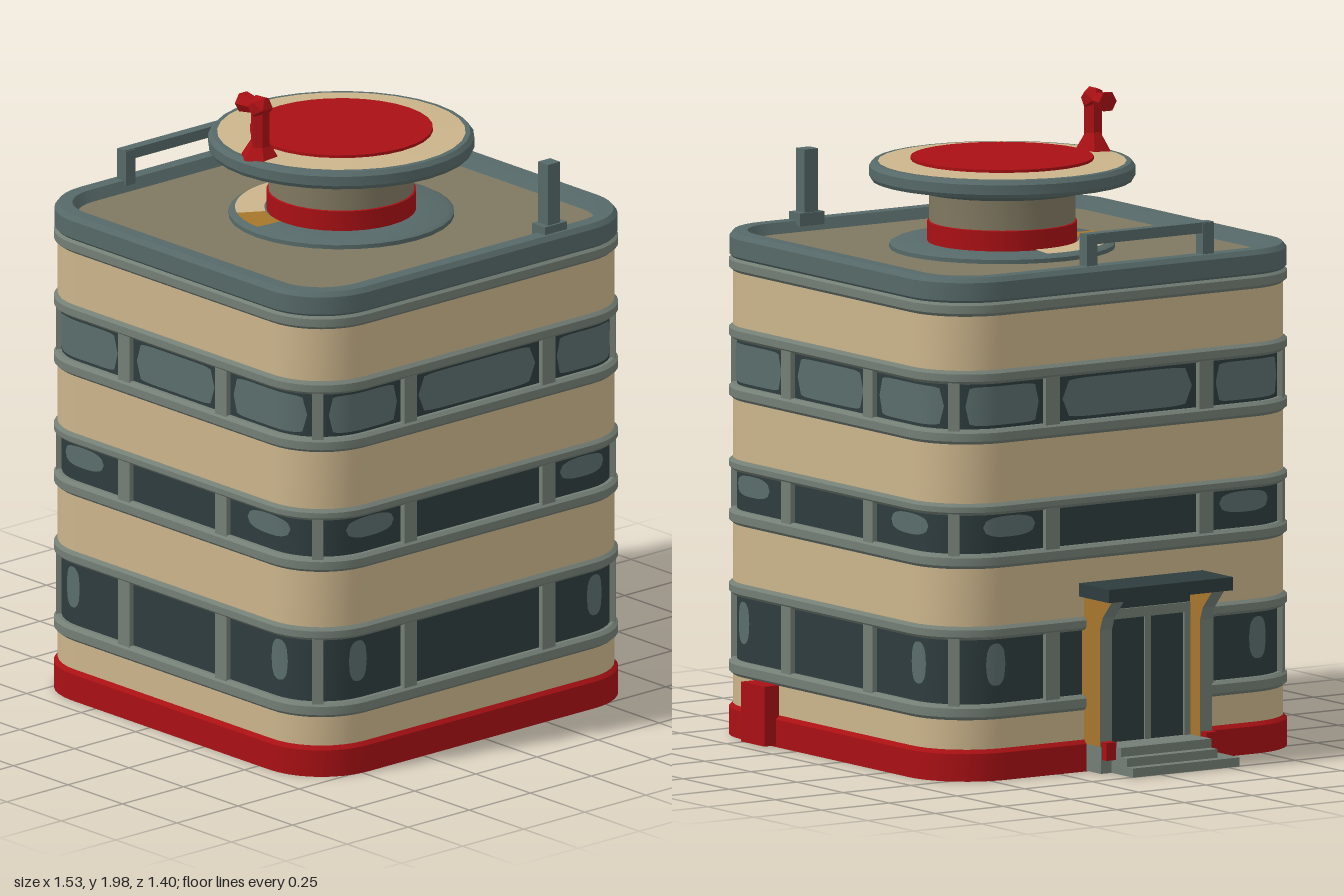
import * as THREE from 'three';
import { toCreasedNormals } from 'three/addons/utils/BufferGeometryUtils.js';

const paint = (name, color, side = THREE.FrontSide) => {
  const m = new THREE.MeshStandardMaterial({ color, side });
  m.name = name;
  return m;
};

export function createModel() {
  const model = new THREE.Group();
  model.name = 'roundedTower';
  const DS = THREE.DoubleSide;
  const cream = paint('cream', 0xcbb48b, DS), red = paint('red', 0xa91014, DS);
  const frame = paint('frameGrey', 0x737e75, DS), trim = paint('slateTrim', 0x566968, DS);
  const glass = paint('darkGlass', 0x2e3c3e, DS), shine = paint('lightGlass', 0x5a6d6b, DS);
  const olive = paint('olive', 0x7f7860, DS), gold = paint('gold', 0xa6762c, DS);

  const add = (name, geo, mat, x = 0, y = 0, z = 0, parent = model) => {
    const m = new THREE.Mesh(geo, mat);
    m.name = name;
    m.position.set(x, y, z);
    parent.add(m);
    return m;
  };
  // box given by its extents
  const box = (name, mat, x0, x1, y0, y1, z0, z1) =>
    add(name, new THREE.BoxGeometry(x1 - x0, y1 - y0, z1 - z0), mat, (x0 + x1) / 2, (y0 + y1) / 2, (z0 + z1) / 2);

  // Rounded-rectangle footprint, walked by arc length from the left end of the front
  const CX = 0.095, CZ = 0.015, R = 0.2, HX = 0.655, HZ = 0.665;
  const Q = Math.PI * R / 2;
  const half = i => (i % 2 ? HZ : HX) - R;
  const LEN = 4 * (HX - R) + 4 * (HZ - R) + 4 * Q;
  function at(s, off) {
    s = ((s % LEN) + LEN) % LEN;
    for (let i = 0; ; i++) {
      const th = i * Math.PI / 2, h = half(i), reach = i % 2 ? HX : HZ;
      const nx = Math.sin(th), nz = Math.cos(th);
      if (s <= 2 * h) {
        const d = s - h;
        return { x: CX + nx * (reach + off) + nz * d, z: CZ + nz * (reach + off) - nx * d, a: th };
      }
      s -= 2 * h;
      if (s <= Q || i === 3) {
        const a = th + s / R;
        return {
          x: CX + nx * (reach - R) + nz * h + Math.sin(a) * (R + off),
          z: CZ + nz * (reach - R) - nx * h + Math.cos(a) * (R + off), a
        };
      }
      s -= Q;
    }
  }

  // Sweep a profile of [offset, height] along the footprint; round > 0 shapes it as a superellipse
  function sweep(name, mat, profile, s0 = 0, s1 = LEN, round = 0, parent = model) {
    const pos = [], idx = [];
    const n = Math.max(20, Math.ceil((s1 - s0) / 0.035));
    for (let k = 0; k + 1 < profile.length; k++) {
      const [p, q] = [profile[k], profile[k + 1]];
      const mid = (p[1] + q[1]) / 2, base = pos.length / 3;
      for (let j = 0; j <= n; j++) {
        const u = Math.abs(2 * j / n - 1), s = s0 + (s1 - s0) * j / n;
        const f = round ? Math.pow(Math.max(0, 1 - u ** round), 1 / round) : 1;
        for (const [off, y] of [p, q]) {
          const c = at(s, off);
          pos.push(c.x, mid + (y - mid) * f, c.z);
        }
        if (j < n) {
          const b = base + 2 * j;
          idx.push(b, b + 2, b + 3, b, b + 3, b + 1);
        }
      }
    }
    const g = new THREE.BufferGeometry();
    g.setAttribute('position', new THREE.Float32BufferAttribute(pos, 3));
    g.setIndex(idx);
    g.computeVertexNormals();
    return add(name, g, mat, 0, 0, 0, parent);
  }

  // Base, cream walls and rounded ledges
  sweep('redPlinth', red, [[-0.02, 0.11], [-0.02, 0.015], [0.012, 0.015], [0.012, 0.1], [0, 0.112]]);
  for (const [y0, y1] of [[0.105, 0.21], [0.48, 0.68], [0.86, 1.07], [1.27, 1.46]])
    sweep('creamWall', cream, [[0, y0], [0, y1]]);
  for (const [y0, y1] of [[0.203, 0.25], [0.45, 0.492], [0.67, 0.715], [0.835, 0.872], [1.055, 1.1], [1.24, 1.283], [1.45, 1.495]])
    sweep('ledge', frame, [[-0.02, y0], [0, y0], [0.012, y0 + 0.01], [0.012, y1 - 0.01], [0, y1], [-0.02, y1]]);

  // Mullion positions: two on every face and one in the middle of every corner
  const mullions = [], corners = [];
  let start = 0;
  for (let i = 0; i < 4; i++) {
    const h = half(i), m = i % 2 ? 0.283 : 0.222;
    mullions.push([start + h - m, 0.052], [start + h + m, 0.052], [start + 2 * h + Q / 2, 0.034]);
    corners.push(start, start + 2 * h);
    start += 2 * h + Q;
  }
  const floors = [
    { y0: 0.245, y1: 0.455, shift: 0.02, w: 0.07, h: 0.13 },
    { y0: 0.71, y1: 0.84, shift: -0.03, w: 0.19, h: 0.065 },
    { y0: 1.095, y1: 1.245 }
  ];
  for (const f of floors) {
    const storey = new THREE.Group(), mid = (f.y0 + f.y1) / 2;
    storey.name = 'windowStorey';
    model.add(storey);
    sweep('glassBand', glass, [[-0.012, f.y0], [-0.012, f.y1]], 0, LEN, 0, storey);
    mullions.forEach(([s, w], i) => {
      const c = at(s, -0.008);
      add('mullion', new THREE.BoxGeometry(w, f.y1 - f.y0, 0.026), frame, c.x, mid, c.z, storey).rotation.y = c.a;
      if (f.w) return;
      // pale panes on the top storey
      const [s2, w2] = mullions[(i + 1) % mullions.length];
      const end = s2 < s ? s2 + LEN : s2;
      sweep('palePane', shine, [[-0.009, f.y0 + 0.015], [-0.009, f.y1 - 0.015]], s + w / 2 + 0.018, end - w2 / 2 - 0.018, 7, storey);
    });
    // glints beside the corners on the lower storeys
    if (f.w) corners.forEach((c, i) => {
      const s = c + (i % 2 ? f.shift : -f.shift);
      sweep('glint', shine, [[-0.009, mid + 0.02 - f.h / 2], [-0.009, mid + 0.02 + f.h / 2]], s - f.w / 2, s + f.w / 2, 2.5, storey);
    });
  }

  // Parapet and roof
  sweep('parapet', trim, [[0, 1.49], [0.01, 1.5], [0.01, 1.555], [-0.002, 1.57], [-0.045, 1.57], [-0.065, 1.53]]);
  const outline = [];
  for (let j = 0; j < 120; j++) {
    const c = at(LEN * j / 120, -0.055);
    outline.push(new THREE.Vector2(c.x, -c.z));
  }
  add('roof', new THREE.ShapeGeometry(new THREE.Shape(outline)).rotateX(-Math.PI / 2), olive, 0, 1.537, 0);

  // Round rooftop lookout: collar, drum and dish
  const DX = 0.097, DZ = -0.005;
  const lathe = (name, mat, pts) => add(name,
    toCreasedNormals(new THREE.LatheGeometry(pts.map(p => new THREE.Vector2(...p)), 32), 0.5), mat, DX, 0, DZ);
  lathe('roofCollar', trim, [[0.345, 1.535], [0.345, 1.55], [0.33, 1.558], [0.2, 1.558]]);
  const inlay = (name, mat, from, sweepAngle) => add(name,
    new THREE.RingGeometry(0.235, 0.325, 12, 1, from, sweepAngle).rotateX(-Math.PI / 2), mat, DX, 1.562, DZ);
  inlay('creamInlay', cream, Math.PI * 0.95, Math.PI * 0.38);
  inlay('goldInlay', gold, Math.PI * 1.33, Math.PI * 0.15);
  lathe('drumBand', red, [[0.229, 1.54], [0.229, 1.62], [0.22, 1.622]]);
  lathe('drum', olive, [[0.223, 1.615], [0.223, 1.73]]);
  lathe('dishRim', trim, [[0.2, 1.718], [0.27, 1.72], [0.34, 1.742], [0.4, 1.748], [0.407, 1.76], [0.407, 1.79], [0.395, 1.803], [0.37, 1.803]]);
  lathe('dishTop', cream, [[0.38, 1.804], [0.26, 1.81]]);
  lathe('dishCentre', red, [[0.28, 1.8], [0.28, 1.818], [0, 1.82]]);

  // Red faceted scope on the front of the dish
  const facet = g => { const f = g.toNonIndexed(); f.computeVertexNormals(); return f; };
  add('scopeFoot', facet(new THREE.CylinderGeometry(0.025, 0.062, 0.06, 6)), red, 0.11, 1.83, 0.34);
  add('scopeStem', facet(new THREE.CylinderGeometry(0.03, 0.03, 0.12, 6)), red, 0.118, 1.9, 0.345);
  add('scopeHead', new THREE.IcosahedronGeometry(0.04, 0), red, 0.118, 1.963, 0.345);
  add('scopeTube', facet(new THREE.CylinderGeometry(0.033, 0.022, 0.07, 6).rotateZ(Math.PI / 2)), red, 0.073, 1.962, 0.345);

  // Roof rail and mast
  box('railPost', trim, -0.545, -0.505, 1.555, 1.665, 0.3, 0.34);
  box('railPost', trim, -0.545, -0.505, 1.555, 1.665, -0.13, -0.09);
  box('railBar', trim, -0.542, -0.508, 1.635, 1.668, -0.13, 0.34);
  box('mast', trim, 0.687, 0.733, 1.555, 1.79, -0.333, -0.283);
  box('mastFoot', trim, 0.68, 0.74, 1.555, 1.595, -0.355, -0.265);

  // Red utility box on the back
  box('utilityBox', red, 0.36, 0.485, 0.02, 0.205, -0.705, -0.63);

  // Side entrance: flared side walls, canopy, door and steps
  const cheek = new THREE.Shape([[-0.54, 0.1], [-0.645, 0.1], [-0.645, 0.46], [-0.66, 0.5], [-0.715, 0.56], [-0.54, 0.56]]
    .map(p => new THREE.Vector2(...p)));
  for (const z of [-0.15, 0.22]) {
    add('entranceCheek', new THREE.ExtrudeGeometry(cheek, { depth: 0.045, bevelEnabled: false }), [gold, frame], 0, 0, z);
    box('cheekFoot', frame, -0.65, -0.54, 0.017, 0.1, z, z + 0.045);
    box('footBumper', red, -0.675, -0.63, 0.06, 0.115, z + 0.004, z + 0.041);
  }
  box('canopy', glass, -0.725, -0.54, 0.556, 0.597, -0.17, 0.287);
  box('door', glass, -0.59, -0.535, 0.1, 0.556, -0.11, 0.225);
  for (const z of [-0.105, 0.05, 0.195]) box('doorFrame', frame, -0.597, -0.585, 0.1, 0.5, z, z + 0.022);
  box('doorLintel', frame, -0.597, -0.585, 0.48, 0.51, -0.105, 0.217);
  [[-0.765, 0.045], [-0.733, 0.072], [-0.7, 0.1]].forEach(([x, y]) =>
    box('step', frame, x, -0.56, 0.017, y, -0.11, 0.285 - (y > 0.05 ? 0.06 : 0)));

  return model;
}
